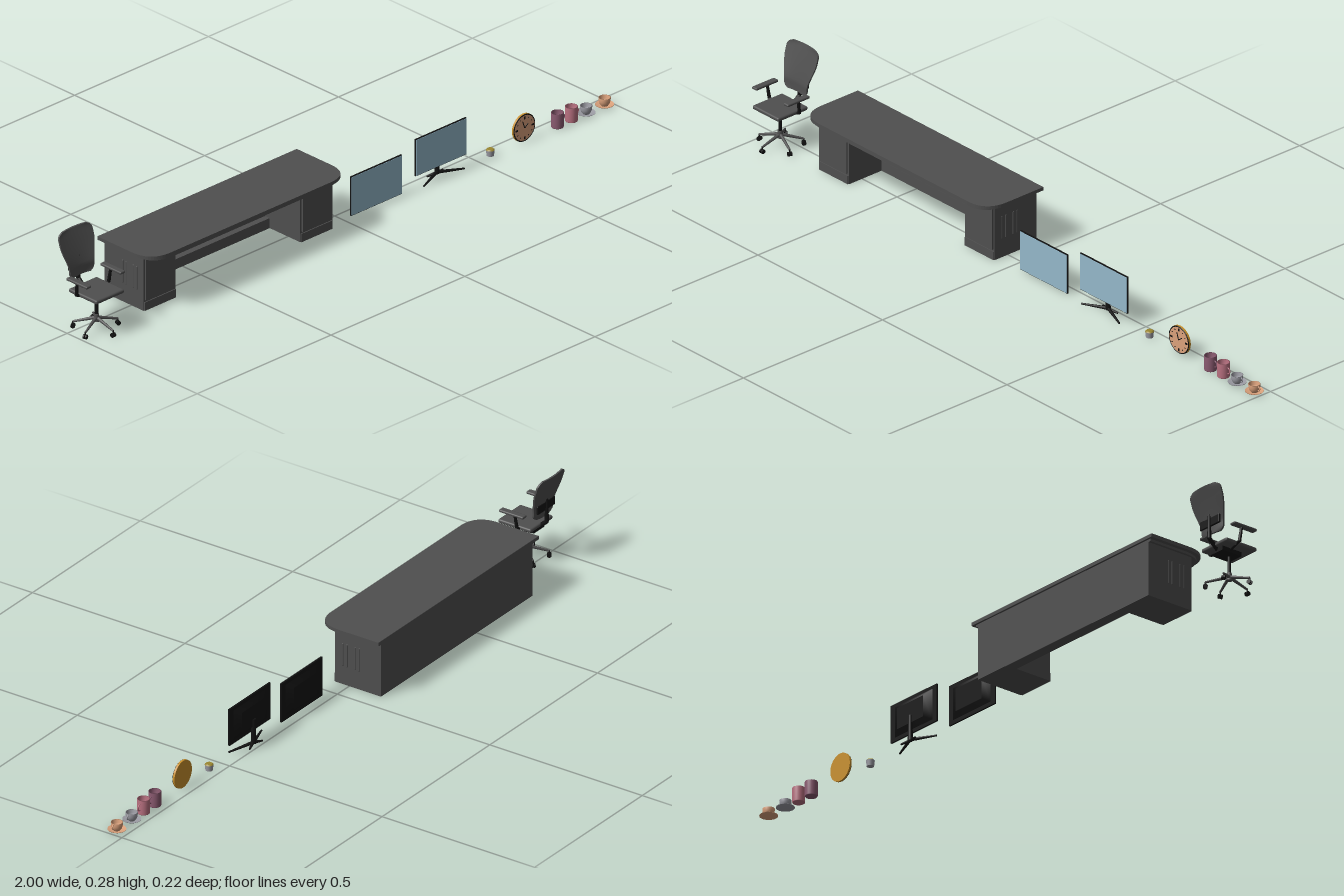
import * as THREE from 'three';
import { RoundedBoxGeometry } from 'three/addons/geometries/RoundedBoxGeometry.js';

const mat = (name, color, side = THREE.FrontSide) => {
  const m = new THREE.MeshStandardMaterial({ color, side });
  m.name = name;
  return m;
};

export function createModel() {
  const root = new THREE.Group();
  const charcoal = mat('charcoal', 0x4f4f4f);
  const black = mat('black', 0x121212);
  const blue = mat('screenBlue', 0x94b8ca);
  const gold = mat('gold', 0xc8902c);
  const peach = mat('peach', 0xdca27c);
  const mauve = mat('mauve', 0x8a5a70, THREE.DoubleSide);
  const pink = mat('pink', 0xb87080, THREE.DoubleSide);
  const grey = mat('cupGrey', 0x9c9ca4, THREE.DoubleSide);
  const olive = mat('olive', 0x9a8630);
  const peachCup = peach;
  peachCup.side = THREE.DoubleSide;

  const group = (name, x = 0, y = 0, z = 0) => {
    const g = new THREE.Group();
    g.name = name;
    g.position.set(x, y, z);
    root.add(g);
    return g;
  };
  const add = (parent, name, geo, m, x = 0, y = 0, z = 0) => {
    const mesh = new THREE.Mesh(geo, m);
    mesh.name = name;
    mesh.position.set(x, y, z);
    parent.add(mesh);
    return mesh;
  };
  // box given by its min and max corners
  const span = (parent, name, m, x0, x1, y0, y1, z0, z1) =>
    add(parent, name, new THREE.BoxGeometry(x1 - x0, y1 - y0, z1 - z0), m, (x0 + x1) / 2, (y0 + y1) / 2, (z0 + z1) / 2);
  // round bar between two points
  const bar = (parent, name, m, a, b, r0, r1 = r0) => {
    const A = new THREE.Vector3(...a), B = new THREE.Vector3(...b), d = B.clone().sub(A);
    const mesh = add(parent, name, new THREE.CylinderGeometry(r1, r0, d.length(), 10), m);
    mesh.position.copy(A).add(B).multiplyScalar(0.5);
    mesh.quaternion.setFromUnitVectors(new THREE.Vector3(0, 1, 0), d.normalize());
    return mesh;
  };

  // ---- Desk ----
  const desk = group('desk');
  // slab with rounded front corners
  const slab = (name, x0, x1, z0, z1, y0, y1, r) => {
    const s = new THREE.Shape();
    s.moveTo(x0, -z0);
    s.lineTo(x0, -z1 + r);
    s.quadraticCurveTo(x0, -z1, x0 + r, -z1);
    s.lineTo(x1 - r, -z1);
    s.quadraticCurveTo(x1, -z1, x1, -z1 + r);
    s.lineTo(x1, -z0);
    const geo = new THREE.ExtrudeGeometry(s, { depth: y1 - y0, bevelEnabled: false, curveSegments: 14 });
    geo.rotateX(-Math.PI / 2);
    add(desk, name, geo, charcoal, 0, y0, 0);
  };
  slab('deskTop', -0.78, -0.035, -0.11, 0.096, 0.164, 0.174, 0.075);
  slab('deskTopLip', -0.768, -0.047, -0.104, 0.09, 0.157, 0.164, 0.07);
  span(desk, 'backPanel', charcoal, -0.64, -0.175, 0, 0.157, -0.104, -0.088);
  span(desk, 'kickRail', charcoal, -0.64, -0.175, 0, 0.03, -0.088, -0.07);
  for (let i = 0; i < 4; i++) {
    const x = -0.635 + i * 0.115;
    span(desk, 'innerPanel', charcoal, x + 0.004, x + 0.111, 0.038, 0.15, -0.088, -0.083);
  }
  for (const [x0, x1, outer, dir] of [[-0.76, -0.64, -0.76, -1], [-0.175, -0.055, -0.055, 1]]) {
    span(desk, 'pedestal', charcoal, x0, x1, 0, 0.157, -0.104, 0.047);
    span(desk, 'pedestalDoor', charcoal, x0 + 0.006, x1 - 0.006, 0.03, 0.152, 0.047, 0.051);
    span(desk, 'plinth', charcoal, x0 + 0.002, x1 - 0.002, 0, 0.025, 0.047, 0.05);
    for (const z of [0.021, 0.007, -0.02, -0.033]) {
      const slot = add(desk, 'endSlot', new THREE.CapsuleGeometry(0.0025, 0.065, 3, 8), charcoal, outer, 0.09, z);
      slot.scale.x = 0.6;
      slot.position.x += dir * 0.0002;
    }
  }

  // ---- Office chair ----
  const chair = group('officeChair', -0.927, 0, 0.038);
  for (let i = 0; i < 5; i++) {
    const a = (i / 5) * Math.PI * 2, sx = Math.sin(a), cz = Math.cos(a), r = 0.064;
    bar(chair, 'baseLeg', charcoal, [0, 0.037, 0], [sx * r, 0.019, cz * r], 0.005, 0.003);
    bar(chair, 'casterStem', black, [sx * r, 0.008, cz * r], [sx * r, 0.02, cz * r], 0.002);
    for (const k of [-1, 1]) {
      const w = add(chair, 'caster', new THREE.CylinderGeometry(0.0065, 0.0065, 0.004, 14), black,
        sx * r + k * cz * 0.0035, 0.0065, cz * r - k * sx * 0.0035);
      w.rotation.set(0, a, Math.PI / 2, 'YXZ');
    }
  }
  bar(chair, 'hub', charcoal, [0, 0.026, 0], [0, 0.048, 0], 0.009, 0.007);
  bar(chair, 'gasLift', black, [0, 0.04, 0], [0, 0.105, 0], 0.005);
  span(chair, 'seatMechanism', black, -0.025, 0.025, 0.096, 0.108, -0.045, 0.022);
  add(chair, 'seat', new RoundedBoxGeometry(0.105, 0.012, 0.108, 3, 0.005), charcoal, 0, 0.116, 0);
  // backrest: a thin box bent backwards, waisted, with rounded top
  const back = new THREE.BoxGeometry(1, 1, 0.005, 8, 24, 1);
  const p = back.attributes.position;
  const bend = (t) => -0.062 - 0.03 * Math.pow(Math.max(0, (t - 0.2) / 0.8), 1.15);
  for (let i = 0; i < p.count; i++) {
    const t = p.getY(i) + 0.5, u = p.getX(i);
    const wide = 0.09 + 0.034 * THREE.MathUtils.smoothstep(t, 0.15, 0.75);
    const corner = Math.min(1, 0.72 + 0.28 * Math.sqrt(Math.min(1, Math.min(t, 1 - t) / 0.1)));
    p.setXYZ(i, u * wide * corner, 0.145 + 0.13 * t, p.getZ(i) + bend(t) + 0.02 * u * u);
  }
  back.computeVertexNormals();
  add(chair, 'backrest', back, charcoal);
  bar(chair, 'backSupport', black, [0, 0.1, -0.035], [0, 0.13, -0.07], 0.006);
  bar(chair, 'backSupport', black, [0, 0.13, -0.07], [0, 0.2, -0.07], 0.006, 0.004);
  add(chair, 'lumbarPad', new RoundedBoxGeometry(0.08, 0.025, 0.006, 2, 0.002), black, 0, 0.178, -0.067);
  for (const s of [-1, 1]) {
    bar(chair, 'armBracket', black, [s * 0.02, 0.104, -0.015], [s * 0.06, 0.118, -0.015], 0.004);
    bar(chair, 'armPost', black, [s * 0.06, 0.117, -0.015], [s * 0.063, 0.158, -0.01], 0.005, 0.004);
    add(chair, 'armPad', new RoundedBoxGeometry(0.019, 0.008, 0.08, 3, 0.0035), charcoal, s * 0.0635, 0.161, -0.003);
  }

  // ---- Monitors ----
  const monitor = (name, x, y0, y1) => {
    const g = group(name, x, 0, 0.03), w = 0.19, h = y1 - y0, yc = (y0 + y1) / 2;
    add(g, 'casing', new THREE.BoxGeometry(w, h, 0.005), black, 0, yc, 0);
    add(g, 'screen', new THREE.BoxGeometry(w - 0.003, h - 0.003, 0.001), blue, 0, yc, 0.003);
    // tapered rear housing
    const hump = new THREE.CylinderGeometry(0.5, 0.72, 1, 4, 1);
    hump.rotateY(Math.PI / 4);
    hump.rotateX(-Math.PI / 2);
    hump.scale(w * 0.8, h * 0.8, 0.012);
    add(g, 'rearHousing', hump, black, 0, yc, -0.0085);
    return g;
  };
  monitor('wallMonitor', 0.125, 0.001, 0.118);
  const standing = monitor('standingMonitor', 0.366, 0.035, 0.145);
  bar(standing, 'standNeck', black, [0, 0.006, -0.014], [0, 0.08, -0.014], 0.007, 0.006);
  for (const s of [-1, 1]) {
    bar(standing, 'standFoot', black, [0, 0.009, -0.014], [s * 0.076, 0.003, 0.014], 0.005, 0.0025);
    bar(standing, 'standRearFoot', black, [0, 0.008, -0.012], [s * 0.03, 0.003, -0.022], 0.005, 0.0025);
  }

  // ---- Small pot ----
  const pot = group('smallPot', 0.55, 0, 0.032);
  add(pot, 'potBody', new THREE.CylinderGeometry(0.012, 0.01, 0.017, 20), grey, 0, 0.0085, 0);
  add(pot, 'potTop', new THREE.CylinderGeometry(0.009, 0.012, 0.003, 20), olive, 0, 0.0185, 0);

  // ---- Clock ----
  const clock = group('clock', 0.673, 0.041, 0.034);
  const disc = (name, r, d, m, z) => add(clock, name, new THREE.CylinderGeometry(r, r, d, 40), m, 0, 0, z).rotateX(Math.PI / 2);
  disc('clockBody', 0.0405, 0.006, gold, -0.001);
  add(clock, 'clockRim', new THREE.TorusGeometry(0.0385, 0.0018, 8, 40), black, 0, 0, 0.002);
  disc('clockFace', 0.0375, 0.001, peach, 0.0025);
  for (let i = 0; i < 12; i++) {
    const a = (i / 12) * Math.PI * 2, big = i % 3 === 0;
    add(clock, 'hourMark', new THREE.BoxGeometry(big ? 0.005 : 0.002, big ? 0.008 : 0.004, 0.001), black,
      Math.sin(a) * 0.03, Math.cos(a) * 0.03, 0.0033).rotation.z = -a;
  }
  for (const [len, a] of [[0.016, 0.9], [0.023, -0.35]]) {
    add(clock, 'hand', new THREE.BoxGeometry(0.0025, len, 0.001), black,
      Math.sin(a) * len / 2, Math.cos(a) * len / 2, 0.0038).rotation.z = -a;
  }

  // ---- Mugs, cups and saucers ----
  const lathe = (parent, name, m, pts) =>
    add(parent, name, new THREE.LatheGeometry(pts.map(([r, y]) => new THREE.Vector2(r, y)), 28), m);
  const handle = (parent, m, x, y, r) => {
    const h = add(parent, 'handle', new THREE.TorusGeometry(r, 0.0018, 8, 16, Math.PI), m, x, y, 0);
    h.rotation.z = -Math.PI / 2;
  };
  for (const [x, m] of [[0.798, mauve], [0.85, pink]]) {
    const mug = group('mug', x, 0, 0.035);
    lathe(mug, 'mugBody', m, [[0, 0], [0.0165, 0], [0.0175, 0.002], [0.0175, 0.043], [0.0155, 0.043], [0.0155, 0.004], [0, 0.004]]);
    handle(mug, m, 0.0165, 0.023, 0.009);
  }
  for (const [x, m] of [[0.905, grey], [0.974, peachCup]]) {
    const cup = group('cupAndSaucer', x, 0, 0.035);
    lathe(cup, 'saucer', m, [[0, 0], [0.014, 0], [0.0255, 0.005], [0.0255, 0.006], [0.014, 0.002], [0, 0.002]]);
    lathe(cup, 'cupBody', m, [[0, 0.002], [0.009, 0.002], [0.0135, 0.008], [0.016, 0.016], [0.0165, 0.026],
      [0.015, 0.026], [0.0145, 0.016], [0.011, 0.008], [0, 0.006]]);
    handle(cup, m, 0.0155, 0.017, 0.006);
  }
  return root;
}
